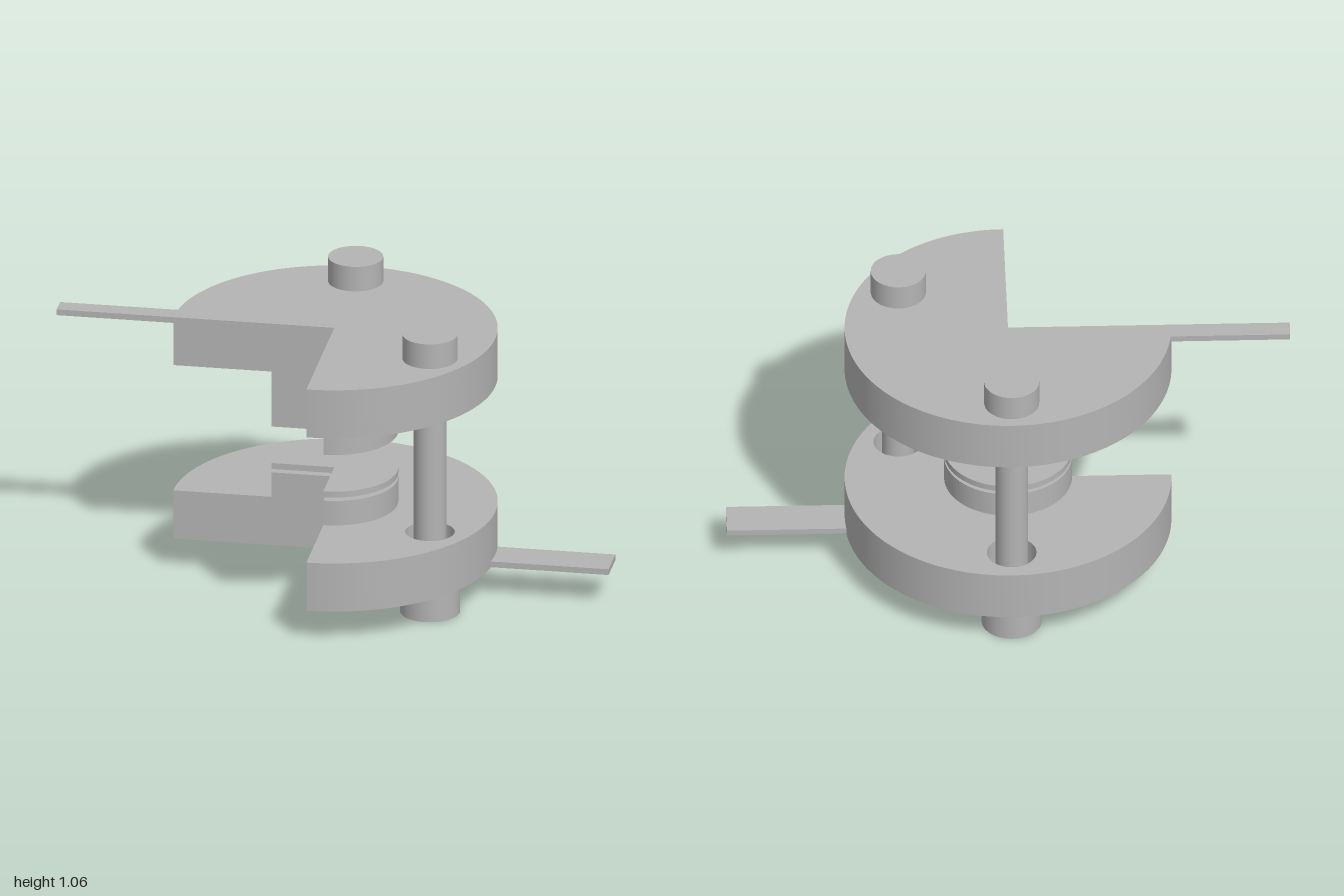
import * as THREE from 'three';
import { toCreasedNormals } from 'three/addons/utils/BufferGeometryUtils.js';

const PLATE_R = 0.58;
const BOSS_R = 0.227;
const BOLTS = [[0, -0.443], [0.383, 0.221]]; // x, z
const HOLE_R = 0.088;

export function createModel() {
  const model = new THREE.Group();
  model.name = 'clampedPlateAssembly';
  const metal = new THREE.MeshStandardMaterial({ color: 0xb4b4b4 });
  metal.name = 'plain grey';

  function add(name, geometry, parent = model) {
    const mesh = new THREE.Mesh(geometry, metal);
    mesh.name = name;
    parent.add(mesh);
    return mesh;
  }

  // Three-quarter disc with the front quadrant on the -x side cut away
  function cutDisc(name, radius, y0, y1, holes = []) {
    const shape = new THREE.Shape();
    shape.moveTo(0, 0);
    shape.lineTo(0, -radius);
    shape.absarc(0, 0, radius, -Math.PI / 2, Math.PI, false);
    shape.closePath();
    for (const [x, z] of holes) {
      const hole = new THREE.Path();
      hole.absarc(x, -z, HOLE_R, 0, Math.PI * 2, true);
      shape.holes.push(hole);
    }
    const g = new THREE.ExtrudeGeometry(shape, {
      depth: y1 - y0, bevelEnabled: false, curveSegments: 72,
    });
    g.rotateX(-Math.PI / 2);
    g.translate(0, y0, 0);
    return add(name, toCreasedNormals(g, 0.5));
  }

  function post(name, radius, y0, y1, parent) {
    const g = new THREE.CylinderGeometry(radius, radius, y1 - y0, 48);
    add(name, g, parent).position.y = (y0 + y1) / 2;
  }

  function tab(name, x0, x1, y0, y1, z0, z1) {
    const g = new THREE.BoxGeometry(x1 - x0, y1 - y0, z1 - z0);
    add(name, g).position.set((x0 + x1) / 2, (y0 + y1) / 2, (z0 + z1) / 2);
  }

  // Plates with clearance holes, their bosses and the thin disc between
  cutDisc('lowerPlate', PLATE_R, 0.119, 0.304, BOLTS);
  cutDisc('lowerBoss', BOSS_R, 0.304, 0.398);
  cutDisc('sampleDisc', BOSS_R, 0.411, 0.434);
  cutDisc('upperBoss', BOSS_R, 0.574, 0.785);
  cutDisc('upperPlate', PLATE_R, 0.785, 0.969, BOLTS);

  // Terminal tabs; the upper one is halved by the cut
  tab('lowerTab', 0.574, 1, 0.119, 0.141, -0.07, 0.07);
  tab('upperTab', -1, -0.574, 0.947, 0.969, -0.07, 0);

  // Bolts
  for (const [x, z] of BOLTS) {
    const bolt = new THREE.Group();
    bolt.name = 'bolt';
    bolt.position.set(x, 0, z);
    post('boltNut', 0.107, 0, 0.119, bolt);
    post('boltShaft', 0.058, 0.119, 0.969, bolt);
    post('boltHead', 0.098, 0.969, 1.063, bolt);
    model.add(bolt);
  }

  return model;
}
